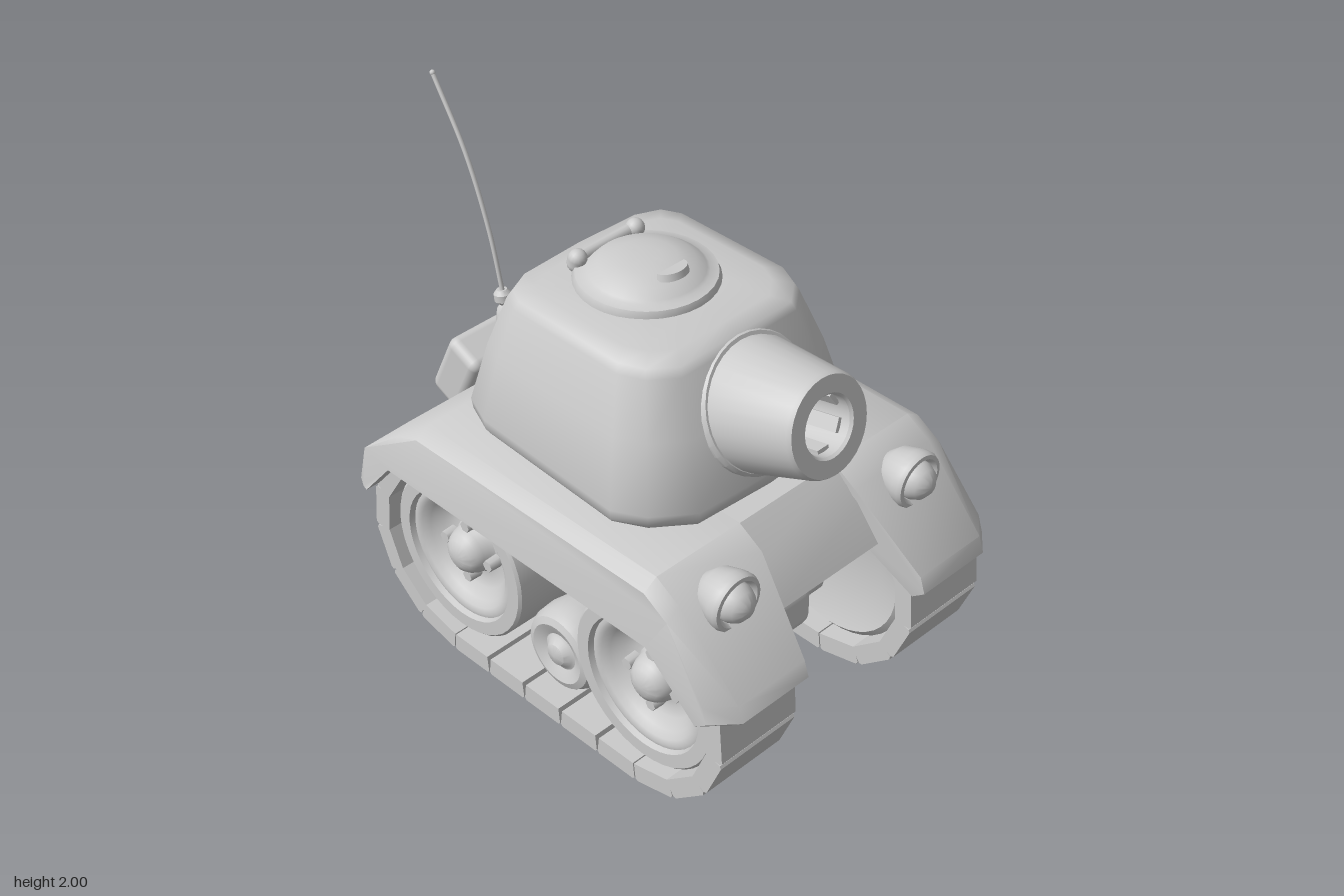
import * as THREE from 'three';
import { toCreasedNormals } from 'three/addons/utils/BufferGeometryUtils.js';
import { RoundedBoxGeometry } from 'three/addons/geometries/RoundedBoxGeometry.js';

const material = new THREE.MeshStandardMaterial({ color: 0xcccccc });

function add(parent, name, geometry, x = 0, y = 0, z = 0, rx = 0) {
  const mesh = new THREE.Mesh(geometry, material);
  mesh.name = name;
  mesh.position.set(x, y, z);
  mesh.rotation.x = rx;
  parent.add(mesh);
  return mesh;
}

const lathe = (points, segments = 32) => toCreasedNormals(
  new THREE.LatheGeometry(points.map(p => new THREE.Vector2(...p)), segments), 0.6);

// Closed skin through equal-length rings of [x, y, z]; the end caps drop one axis to triangulate
function loft(rings, dropAxis, crease = 0.5) {
  const n = rings[0].length, index = [], points = rings.flat();
  for (let r = 0; r < rings.length - 1; r++) for (let i = 0; i < n; i++) {
    const a = r * n + i, b = r * n + (i + 1) % n;
    index.push(a, b, b + n, a, b + n, a + n);
  }
  rings.forEach((ring, r) => {
    if (r > 0 && r < rings.length - 1) return;
    const flat = ring.map(p => new THREE.Vector2(...p.filter((_, k) => k !== dropAxis)));
    const sign = Math.sign(THREE.ShapeUtils.area(flat)) * (r === 0 ? -1 : 1);
    for (const t of THREE.ShapeUtils.triangulateShape(flat, [])) {
      const same = THREE.ShapeUtils.area(t.map(i => flat[i])) * sign > 0;
      const [a, b, c] = t.map(i => i + r * n);
      index.push(...(same ? [a, b, c] : [a, c, b]));
    }
  });
  // Turn the skin outward when its signed volume is negative
  const v = points.map(p => new THREE.Vector3(...p)), cross = new THREE.Vector3();
  let volume = 0;
  for (let i = 0; i < index.length; i += 3)
    volume += v[index[i]].dot(cross.crossVectors(v[index[i + 1]], v[index[i + 2]]));
  if (volume < 0) index.reverse();
  const g = new THREE.BufferGeometry();
  g.setAttribute('position', new THREE.Float32BufferAttribute(points.flat(), 3));
  g.setIndex(index);
  return toCreasedNormals(g, crease);
}

// Sloped mudguard over one track
function fender(side) {
  const profile = [[.9, .49], [.95, .53], [.93, .59], [.68, .85], [.58, .91], [-.5, .91], [-.6, .87],
    [-.74, .73], [-.84, .56], [-.83, .53], [-.75, .54], [-.62, .7], [.62, .7]];
  const inner = profile.map(([z, y]) => [side * (.22 + (Math.abs(z) > .7 ? .06 : 0)), y, z]);
  const shoulder = profile.map(([z, y]) => [side * (z > .85 ? .58 : .59), y, z]);
  const outer = profile.map(([z, y]) => [side * (y > .8 ? .645 : z > .85 || z < -.8 ? .665 : .68),
    y > .84 ? y - .035 : y, z > .85 ? z - .075 : z < -.8 ? z + .045 : z]);
  return loft([inner, shoulder, outer], 0, .75);
}

function wheel(parent, side, z) {
  const g = new THREE.Group();
  g.name = 'roadWheel';
  g.position.set(side * .45, .4, z);
  if (side < 0) g.rotation.y = Math.PI;
  parent.add(g);
  add(g, 'rim', lathe([[0, -.1], [.2, -.1], [.29, -.13], [.314, -.11], [.314, .125], [.305, .135], [.255, .135],
    [.248, .115], [.235, .118], [.215, .112], [.195, .09], [.16, .06], [.125, .048], [.1, .05], [.09, .065],
    [.085, .09], [.075, .112], [.06, .13], [.035, .144], [0, .148]], 40).rotateZ(-Math.PI / 2));
  for (let i = 0; i < 4; i++) {
    const a = i * Math.PI / 2;
    add(g, 'wheelBolt', new THREE.CylinderGeometry(.022, .024, .05, 6).rotateZ(-Math.PI / 2),
      .075, .11 * Math.sin(a), .11 * Math.cos(a));
  }
}

function track(parent, side) {
  const s = new THREE.Shape([[-.081, -.036], [.081, -.036], [.088, .025], [.08, .034], [-.08, .034],
    [-.088, .025]].map(p => new THREE.Vector2(...p)));
  const plate = new THREE.ExtrudeGeometry(s, { depth: .34, bevelEnabled: false })
    .translate(0, 0, -.17).rotateY(Math.PI / 2);
  // The angle is measured from straight down, positive towards the front
  const place = (z, y, angle) => add(parent, 'trackPlate', plate, side * .452, y, z, Math.PI - angle);
  for (let i = 0; i < 5; i++) {
    place(.42 - i * .18, .035, 0);
    const a = (i + .5) * 27 * Math.PI / 180;
    place(.51 + .355 * Math.sin(a), .4 - .355 * Math.cos(a), a);
    place(-.39 - .355 * Math.sin(a), .4 - .355 * Math.cos(a), -a);
  }
}

function turret(parent) {
  const low = [[0, .53], [.33, .51], [.46, .41], [.52, .3], [.49, -.33], [.44, -.45], [.34, -.505], [0, -.52]];
  const high = [[0, .36], [.26, .36], [.35, .29], [.39, .2], [.385, -.28], [.35, -.35], [.26, -.39], [0, -.4]];
  const ring = (y, t, scale) => {
    const half = low.map(([x, z], i) => [
      THREE.MathUtils.lerp(x, high[i][0], t) * scale, y, THREE.MathUtils.lerp(z, high[i][1], t) * scale]);
    return [...half, ...half.slice(1, -1).reverse().map(([x, h, z]) => [-x, h, z])];
  };
  add(parent, 'turretShell', loft([ring(.9, 0, .95), ring(.93, 0, .99), ring(.97, 0, 1), ring(1.2, .5, 1.005),
    ring(1.385, 1, 1), ring(1.415, 1, .96), ring(1.432, 1, .8), ring(1.44, 1, .5)], 1, 1));

  // Gun with open bore
  const gun = new THREE.Group();
  gun.name = 'gun';
  gun.position.set(0, 1.19, .44);
  gun.rotation.x = Math.PI / 2 - .24;
  parent.add(gun);
  add(gun, 'barrel', lathe([[.2, -.25], [.225, 0], [.178, .3], [.17, .315], [.11, .315], [.102, .305],
    [.102, .06], [0, .06]]));
  for (let i = 0; i < 6; i++) {
    const a = i * Math.PI / 3, rib = add(gun, 'boreRib', new THREE.BoxGeometry(.05, .16, .02),
      .097 * Math.sin(a), .19, .097 * Math.cos(a));
    rib.rotation.y = a;
  }
  add(parent, 'gunCollar', lathe([[.2, -.14], [.24, -.12], [.24, .005], [.23, .02], [.2, .02]]),
    0, 1.195, .435, Math.PI / 2 - .44);

  // Domed hatch with hinge and grip
  add(parent, 'hatch', lathe([[.24, 1.4], [.245, 1.44], [.235, 1.462], [.205, 1.468], [.195, 1.475],
    [.16, 1.5], [.1, 1.517], [.05, 1.522], [0, 1.523]]), 0, 0, -.06);
  add(parent, 'hatchGrip', new THREE.CylinderGeometry(.06, .065, .025, 16, 1, false, -Math.PI / 2, Math.PI)
    .scale(1, 1, .8), 0, 1.515, .05, -.15);
  add(parent, 'hatchHinge', new THREE.CylinderGeometry(.022, .022, .26, 12).rotateZ(Math.PI / 2), 0, 1.475, -.255);
  for (const s of [-1, 1])
    add(parent, 'hingeKnuckle', new THREE.CapsuleGeometry(.033, .02, 6, 14), s * .13, 1.47, -.25, .25);

  // Whip antenna on its mount
  add(parent, 'antennaMount', lathe([[0, -.06], [.025, -.045], [.035, -.01], [.025, .03], [.015, .045],
    [.03, .06], [.03, .085], [.018, .1], [0, .1]], 16), -.255, 1.205, -.47, -.15);
  const whip = new THREE.CatmullRomCurve3([[-.257, 1.28, -.475], [-.253, 1.5, -.535], [-.248, 1.75, -.64],
    [-.243, 1.99, -.793]].map(p => new THREE.Vector3(...p)));
  add(parent, 'antennaWhip', new THREE.TubeGeometry(whip, 20, .008, 8));
  add(parent, 'antennaTip', new THREE.SphereGeometry(.01, 8, 6), -.243, 1.99, -.793);
}

function fuelCan(parent) {
  const can = new THREE.Group();
  can.name = 'fuelCan';
  can.position.set(-.03, .74, -.825);
  can.rotation.x = .43;
  parent.add(can);
  add(can, 'canBody', new RoundedBoxGeometry(.36, .285, .16, 3, .035));
  add(can, 'canCap', new THREE.CylinderGeometry(.033, .033, .06, 14).rotateZ(Math.PI / 2), .19, .1, .01);
  add(can, 'canHandle', new RoundedBoxGeometry(.025, .18, .045, 2, .01), .215, -.03, -.03);
  for (const y of [-.1, .04]) add(can, 'handlePost', new THREE.BoxGeometry(.07, .03, .04), .18, y, -.03);
}

export function createModel() {
  const model = new THREE.Group();
  model.name = 'tank';

  // Centre hull with sloped belly
  const hull = [[.73, .66], [.77, .66], [.69, .8], [.58, .908], [-.5, .908], [-.6, .865], [-.8, .63], [-.78, .58],
    [-.4, .3], [0, .31]];
  add(model, 'hull', loft([-.25, .25].map(x => hull.map(([z, y]) => [x, y, z])), 0));

  turret(model);
  fuelCan(model);

  for (const side of [1, -1]) {
    add(model, 'fender', fender(side));
    add(model, 'headlight', lathe([[0, -.11], [.05, -.1], [.085, -.06], [.102, 0], [.104, .025], [.098, .04],
      [.084, .042], [.074, .03], [.07, .015], [.068, .035], [.055, .063], [.03, .083], [0, .09]], 28)
      .rotateX(Math.PI / 2), side * .43, .822, .74);
    track(model, side);
    for (const z of [.51, -.39]) wheel(model, side, z);
    add(model, 'idlerWheel', lathe([[0, -.1], [.12, -.1], [.15, -.07], [.16, 0], [.155, .06], [.14, .09],
      [.115, .1], [.09, .09], [.07, .08], [.058, .085], [.04, .105], [0, .115]]).rotateZ(-side * Math.PI / 2),
    side * .45, .22, .06);
    // Tapered bracket under the fender
    const bracket = (y, x, z0, z1) => [[.24, z0], [x, z0], [x, z1], [.24, z1]].map(([a, z]) => [side * a, y, z]);
    add(model, 'fenderBracket', loft([bracket(.72, .6, .25, -.13), bracket(.48, .37, .19, -.08)], 1));
  }

  // Axles with housings
  for (const z of [.51, -.39]) {
    add(model, 'axle', new THREE.CylinderGeometry(.038, .038, .76, 16).rotateZ(Math.PI / 2), 0, .4, z);
  }
  add(model, 'axleHousing', new RoundedBoxGeometry(.27, .19, .19, 3, .05), 0, .375, .51);
  for (const s of [-1, 1])
    add(model, 'axleSleeve', new THREE.CylinderGeometry(.055, .055, .1, 16).rotateZ(Math.PI / 2), s * .17, .385, .51);
  return model;
}
